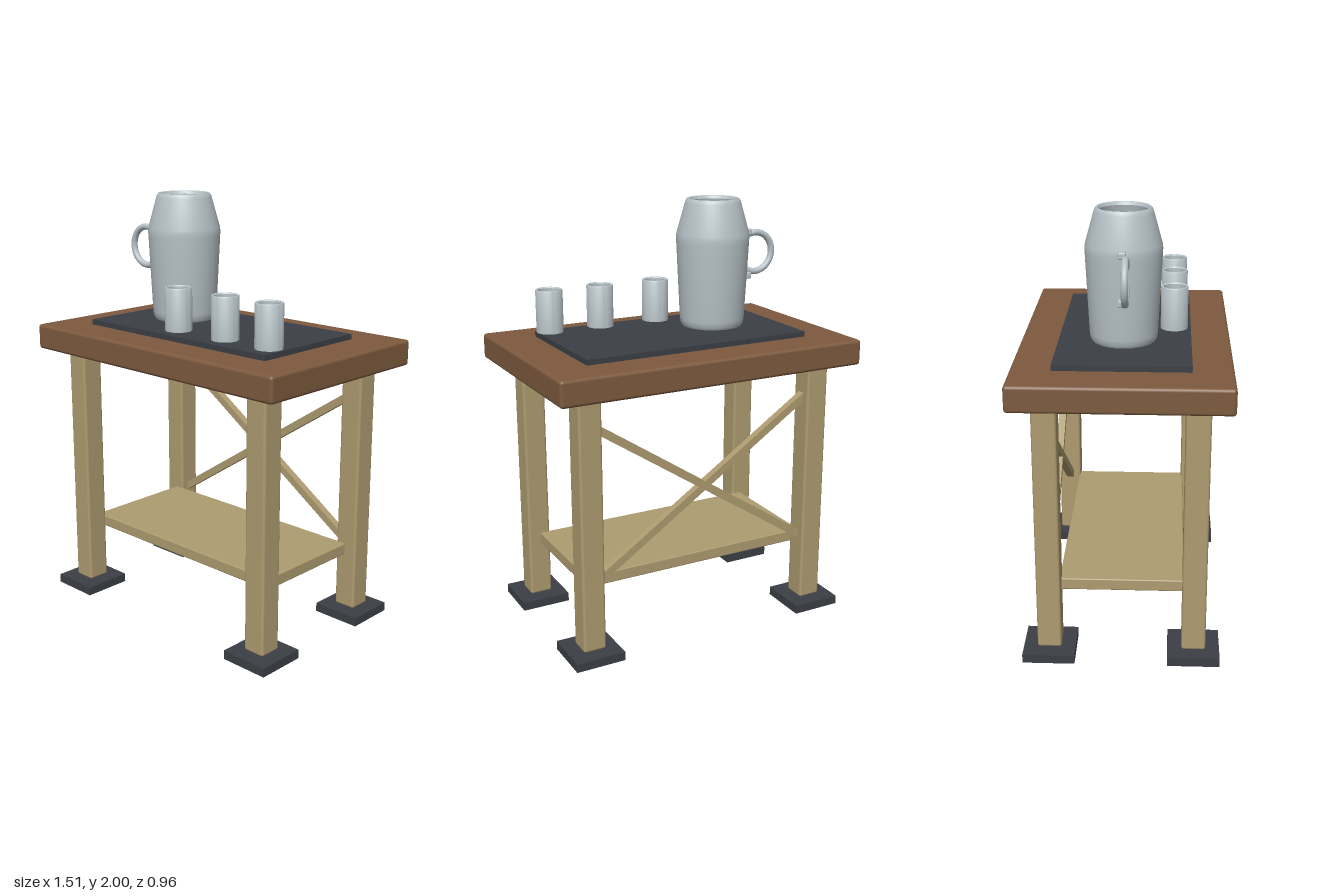
import * as THREE from 'three';
import { RoundedBoxGeometry } from 'three/addons/geometries/RoundedBoxGeometry.js';
import { toCreasedNormals } from 'three/addons/utils/BufferGeometryUtils.js';

function material(name, color) {
  const m = new THREE.MeshStandardMaterial({ color });
  m.name = name;
  return m;
}

export function createModel() {
  const group = new THREE.Group();
  group.name = 'servingTable';
  const brown = material('brown wood', 0x7d5a3e);
  const tan = material('pale wood', 0xae9c70);
  const charcoal = material('charcoal', 0x3b4046);
  const metal = material('pale metal', 0xb8c3c8);

  function add(name, geometry, mat, x, y, z) {
    const mesh = new THREE.Mesh(geometry, mat);
    mesh.name = name;
    mesh.position.set(x, y, z);
    group.add(mesh);
    return mesh;
  }
  const box = (w, h, d) => new THREE.BoxGeometry(w, h, d);
  const rounded = (w, h, d, r) => new RoundedBoxGeometry(w, h, d, 3, r);

  // Closed wall profile: the vessels are open at both ends
  function vessel(points) {
    const profile = points.map(([r, y]) => new THREE.Vector2(r, y));
    profile.push(profile[0].clone());
    return toCreasedNormals(new THREE.LatheGeometry(profile, 48), 0.6);
  }

  // Table top and mat
  add('tableTop', rounded(1.515, 0.12, 0.96, 0.015), brown, 0, 1.305, 0);
  add('mat', box(1.12, 0.025, 0.6), charcoal, 0, 1.3775, 0);

  // Legs and foot pads
  for (const sx of [-1, 1]) {
    for (const sz of [-1, 1]) {
      add('leg', rounded(0.11, 1.2, 0.11, 0.012), tan, sx * 0.587, 0.645, sz * 0.33);
      add('footPad', box(0.238, 0.042, 0.238), charcoal, sx * 0.587, 0.021, sz * 0.33);
    }
  }

  // Lower shelf and crossed back braces
  add('shelf', rounded(1.16, 0.056, 0.565, 0.006), tan, 0, 0.342, 0);
  for (const s of [-1, 1]) {
    add('backBrace', box(1.33, 0.036, 0.036), tan, 0, 0.73, -0.33).rotation.z = s * Math.atan2(0.355, 0.535);
  }

  // Jug with ring handle and two lugs
  const jug = vessel([
    [0.13, 1.4], [0.141, 1.403], [0.149, 1.415], [0.153, 1.44], [0.171, 1.8], [0.172, 1.82],
    [0.17, 1.84], [0.131, 1.98], [0.127, 1.992], [0.12, 2], [0.113, 1.998], [0.107, 1.985],
    [0.15, 1.82], [0.132, 1.44],
  ]);
  add('jug', jug, metal, -0.225, 0, -0.004);
  add('jugHandle', new THREE.TorusGeometry(0.094, 0.0155, 14, 48), metal, -0.469, 1.729, 0.012);
  for (const y of [1.83, 1.622]) {
    add('handleLug', rounded(0.07, 0.03, 0.034, 0.006), metal, -0.4, y, -0.004);
  }

  // Cups
  const cup = vessel([[0.063, 1.4], [0.063, 1.595], [0.06, 1.6], [0.054, 1.6], [0.05, 1.595], [0.05, 1.4]]);
  for (const x of [-0.036, 0.258, 0.515]) add('cup', cup, metal, x, 0, 0.222);

  return group;
}
